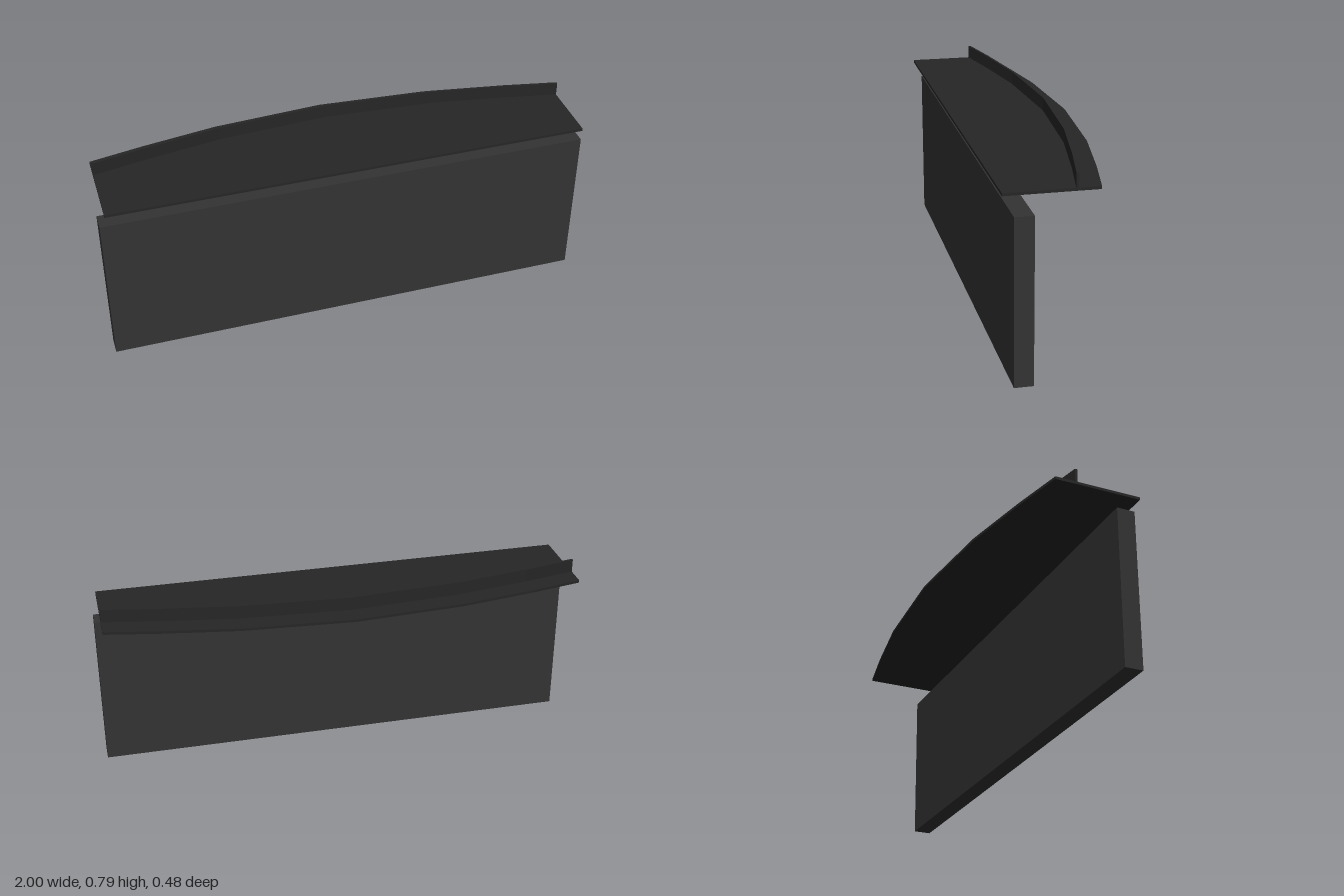
import * as THREE from 'three';

// Back edge of the counter, from its left end to its right end: [x, z]
const half = [[0.45, -0.21], [0.76, -0.16], [0.98, -0.117]];
const arc = [...half.map(([x, z]) => [-x, z]).reverse(), [0, -0.24], ...half];

// Extrudes an outline drawn in plan (x, z) upwards from y0 to y1
function slab(name, outline, y0, y1, material) {
  const shape = new THREE.Shape(outline.map(([x, z]) => new THREE.Vector2(x, -z)));
  const geometry = new THREE.ExtrudeGeometry(shape, { depth: y1 - y0, bevelEnabled: false });
  geometry.rotateX(-Math.PI / 2);
  geometry.translate(0, y0, 0);
  const mesh = new THREE.Mesh(geometry, material);
  mesh.name = name;
  return mesh;
}

export function createModel() {
  const group = new THREE.Group();
  group.name = 'counter';
  const panelMaterial = new THREE.MeshStandardMaterial({ color: 0x333333 });
  const topMaterial = new THREE.MeshStandardMaterial({ color: 0x262626 });

  // Upright front panel
  const panel = new THREE.Mesh(new THREE.BoxGeometry(2, 0.653, 0.074), panelMaterial);
  panel.name = 'frontPanel';
  panel.position.set(0, 0.3265, 0.164);
  group.add(panel);

  // Floating top with a bowed back edge
  group.add(slab('counterTop', [[0.98, 0.24], [-0.98, 0.24], ...arc], 0.726, 0.737, topMaterial));

  // Thin upright lip following the bow, set in from the back edge
  const offset = (d) => arc.map(([x, z]) => [x, z + d]);
  group.add(slab('lip', [...offset(0.083), ...offset(0.093).reverse()], 0.737, 0.792, topMaterial));

  return group;
}
